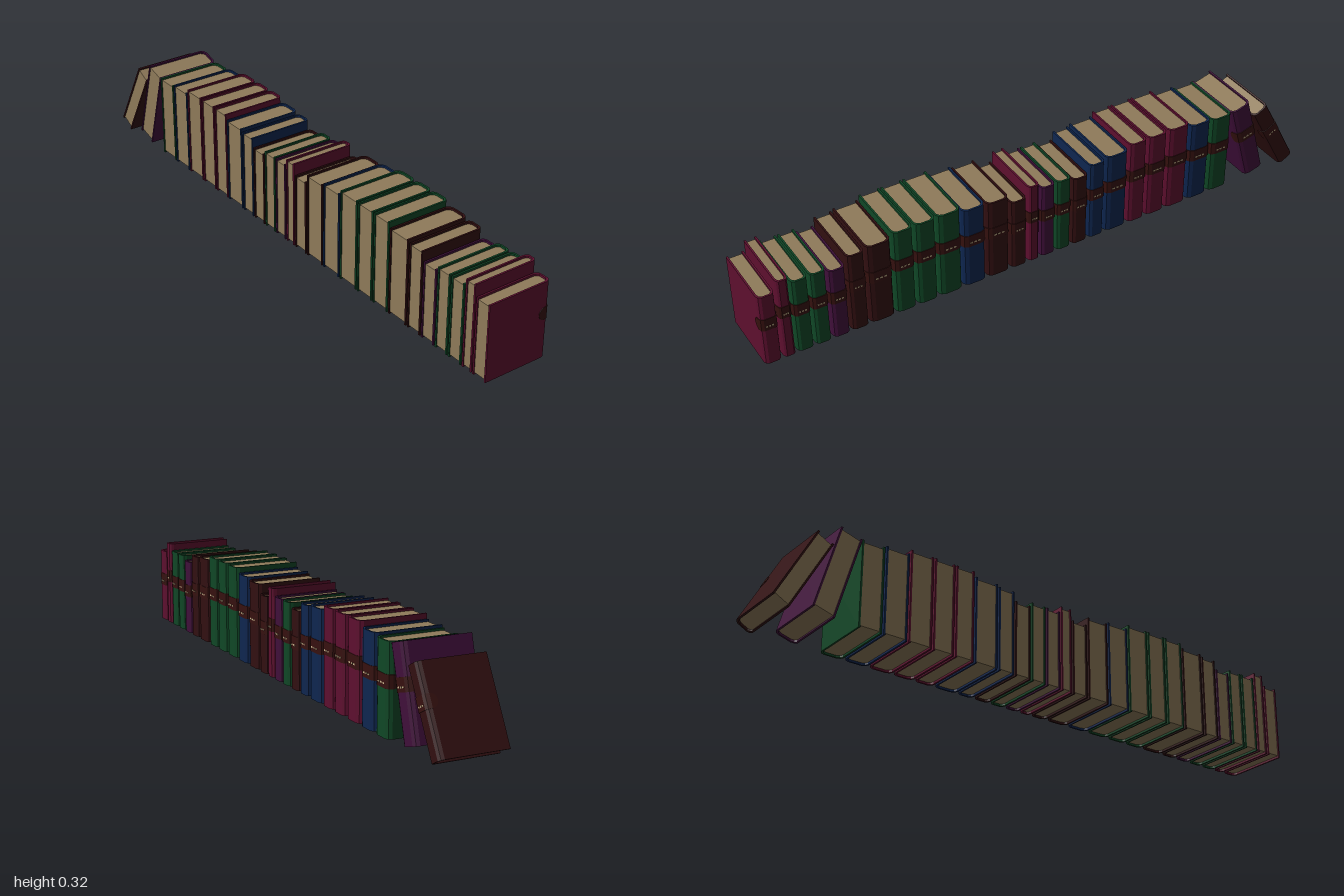
import * as THREE from 'three';

const BASE = 0.006;   // underside of the upright books
const BOARD = 0.005;  // cover thickness
const FORE = -0.114;  // open edge
const HINGE = 0.098;  // where the spine starts to round

const material = (name, color) => {
  const m = new THREE.MeshStandardMaterial({ color });
  m.name = name;
  return m;
};

// Half of a rounded spine outline, from the hinge to the middle of the spine
const spine = (t, grow = 0) => [
  [HINGE, t / 2 + grow],
  [0.108 + grow, t * 0.43 + grow],
  [0.1135 + grow, t * 0.28 + grow],
];
const mirrored = (half) => [...half, ...half.map(([x, z]) => [x, -z]).reverse()];

// Upright prism from an outline in x and z, resting on y = 0
function prism(points, height) {
  const shape = new THREE.Shape(points.map(([x, z]) => new THREE.Vector2(x, z)));
  const g = new THREE.ExtrudeGeometry(shape, { depth: height, bevelEnabled: false });
  g.rotateX(-Math.PI / 2);
  return g;
}

export function createModel() {
  const colors = {
    crimson: material('crimson cloth', 0x5e0f2f),
    green: material('green cloth', 0x0f4726),
    blue: material('blue cloth', 0x0e2650),
    brown: material('brown leather', 0x320f11),
    purple: material('purple cloth', 0x400f3a),
  };
  const paper = material('paper', 0x8f7b5a);
  const label = material('label leather', 0x36110f);
  const gilt = material('gilt', 0xc9b48c);

  // A book standing on its own y = 0, spine towards +x
  function makeBook(cloth, t, h) {
    const book = new THREE.Group();
    const add = (name, geometry, mat) => {
      const mesh = new THREE.Mesh(geometry, mat);
      mesh.name = name;
      book.add(mesh);
      return mesh;
    };

    // Wrap-around cover and the page block inside it
    const outer = mirrored([[FORE, t / 2], ...spine(t)]);
    const inside = spine(t - 2 * BOARD, -0.001).map(([x, z]) => [x - BOARD, z]);
    const inner = mirrored([[FORE, inside[0][1]], ...inside]);
    add('cover', prism([...outer, ...inner.reverse()], h), colors[cloth]);
    const block = mirrored([[FORE + 0.003, inside[0][1]], ...inside]);
    add('pages', prism(block, h - 0.014), paper).position.y = 0.007;

    // Label band around the spine with a rounded tab on each board
    const bandHeight = 0.043;
    const middle = h * 0.59;
    add('spineLabel', prism(mirrored(spine(t, 0.0015)), bandHeight), label)
      .position.y = middle - bandHeight / 2;
    for (const side of [1, -1]) {
      const tab = add('labelTab', new THREE.CylinderGeometry(
        bandHeight / 2, bandHeight / 2, 0.0015, 14, 1, false, Math.PI, Math.PI), label);
      tab.geometry.rotateX(Math.PI / 2);
      tab.position.set(HINGE, middle, side * (t / 2 + 0.00075));
    }

    // Small gilt ornaments on the label
    for (let i = -1; i <= 1; i++) {
      add('giltOrnament', new THREE.BoxGeometry(0.001, 0.005, t * 0.1), gilt)
        .position.set(0.1153, middle - 0.007, i * t * 0.17);
    }
    return book;
  }

  const row = new THREE.Group();
  row.name = 'bookRow';

  // Upright books from front to back: cloth, back edge in z, top in y
  const upright = [
    ['crimson', 0.941, 0.265], ['crimson', 0.895, 0.301],
    ['green', 0.834, 0.279], ['green', 0.775, 0.279],
    ['purple', 0.712, 0.265], ['brown', 0.647, 0.295],
    ['brown', 0.557, 0.302], ['green', 0.481, 0.318],
    ['green', 0.404, 0.318], ['green', 0.316, 0.318],
    ['blue', 0.230, 0.302], ['brown', 0.144, 0.295],
    ['brown', 0.080, 0.265], ['crimson', 0.033, 0.301],
    ['purple', -0.026, 0.279], ['green', -0.086, 0.279],
    ['brown', -0.150, 0.265], ['blue', -0.214, 0.295],
    ['blue', -0.304, 0.302], ['crimson', -0.377, 0.318],
    ['crimson', -0.457, 0.318], ['crimson', -0.545, 0.318],
    ['blue', -0.633, 0.302], ['green', -0.719, 0.295],
  ];
  let front = 1.003;
  upright.forEach(([cloth, back, top], i) => {
    const book = makeBook(cloth, front - back - 0.006, top - BASE);
    book.name = `uprightBook${i + 1}`;
    book.position.set(0, BASE, (front + back) / 2);
    row.add(book);
    front = back;
  });

  // Two books leaning against the end of the row: cloth, thickness, height, centre y and z, tilt
  const leaning = [
    ['purple', 0.077, 0.295, 0.162, -0.793, 0.276],
    ['brown', 0.062, 0.28, 0.138, -0.906, 0.497],
  ];
  leaning.forEach(([cloth, t, h, y, z, tilt], i) => {
    const book = makeBook(cloth, t, h);
    book.name = `leaningBook${i + 1}`;
    book.rotation.x = tilt;
    book.position.set(0, y - Math.cos(tilt) * h / 2, z - Math.sin(tilt) * h / 2);
    row.add(book);
  });

  return row;
}
